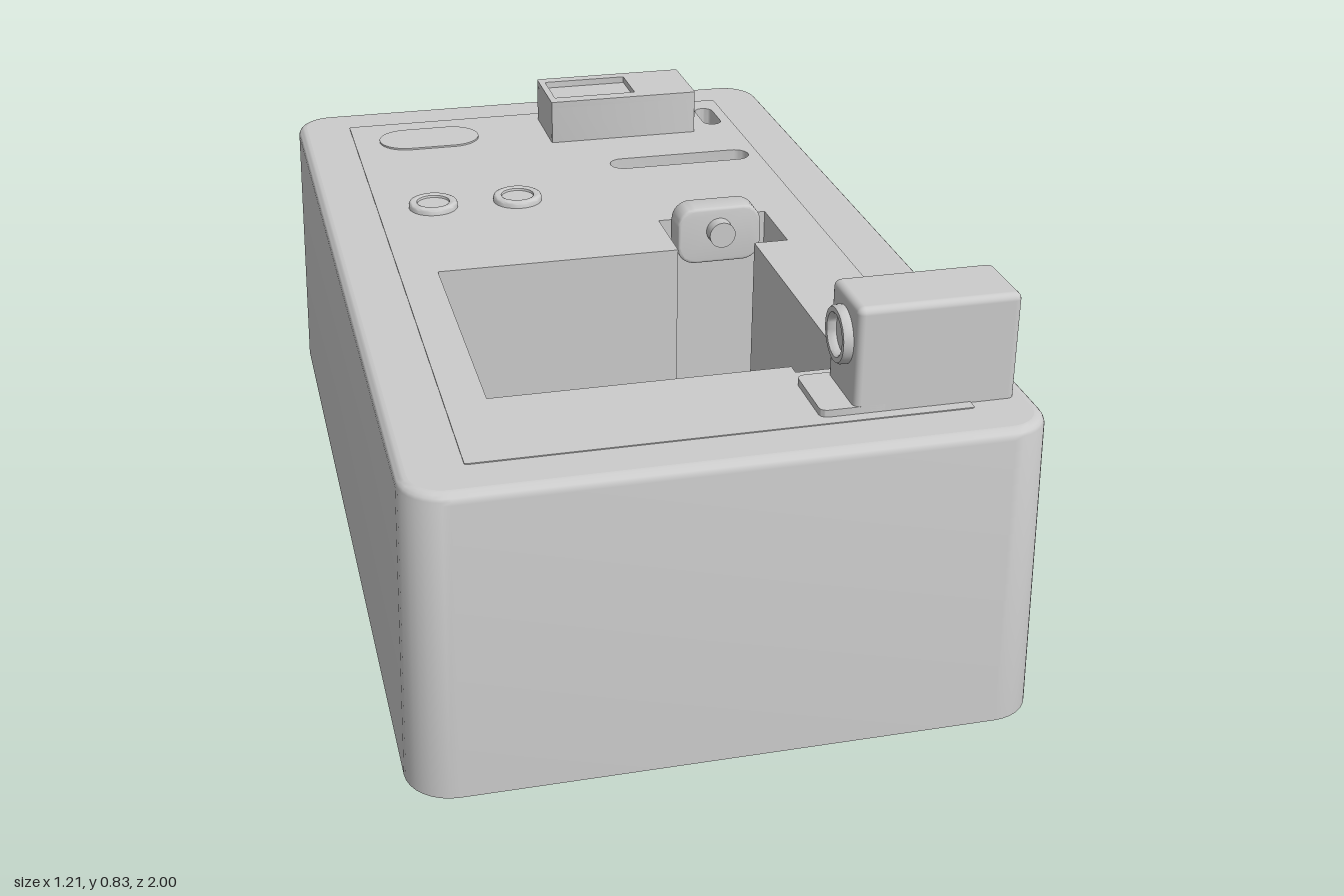
import * as THREE from 'three';
import { toCreasedNormals } from 'three/addons/utils/BufferGeometryUtils.js';
import { RoundedBoxGeometry } from 'three/addons/geometries/RoundedBoxGeometry.js';

const TOP = 0.62;        // rim height
const PANEL_TOP = 0.622; // inset panel height
const PANEL_BASE = 0.6;

// Plan outlines are Vector2(x, -z), counter-clockwise seen from above
function roundedRect(x0, x1, z0, z1, r, n = 8) {
  const pts = [];
  const corners = [[x1 - r, -z0 - r], [x0 + r, -z0 - r], [x0 + r, -z1 + r], [x1 - r, -z1 + r]];
  corners.forEach(([cx, cy], q) => {
    for (let i = 0; i <= n; i++) {
      const a = (q + i / n) * Math.PI / 2;
      pts.push(new THREE.Vector2(cx + r * Math.cos(a), cy + r * Math.sin(a)));
    }
  });
  return pts;
}

const slot = (x0, x1, z0, z1) => roundedRect(x0, x1, z0, z1, Math.min(x1 - x0, z1 - z0) * 0.498);

// Skin between stacked outlines of equal point count
function loft(rings) {
  const pos = [];
  const idx = [];
  const n = rings[0].pts.length;
  rings.forEach(({ pts, y }) => pts.forEach(p => pos.push(p.x, y, -p.y)));
  for (let i = 0; i < rings.length - 1; i++) {
    for (let j = 0; j < n; j++) {
      const k = (j + 1) % n;
      const a = i * n + j, b = i * n + k, c = b + n, d = a + n;
      idx.push(a, b, c, a, c, d);
    }
  }
  const g = new THREE.BufferGeometry();
  g.setAttribute('position', new THREE.Float32BufferAttribute(pos, 3));
  g.setIndex(idx);
  return toCreasedNormals(g, 0.7);
}

function makeShape(pts, holes = []) {
  const s = new THREE.Shape(pts);
  holes.forEach(h => s.holes.push(new THREE.Path(h)));
  return s;
}

function cap(pts, y, holes) {
  return new THREE.ShapeGeometry(makeShape(pts, holes)).rotateX(-Math.PI / 2).translate(0, y, 0);
}

function slab(pts, y0, y1, holes) {
  const g = new THREE.ExtrudeGeometry(makeShape(pts, holes), { depth: y1 - y0, bevelEnabled: false });
  return toCreasedNormals(g.rotateX(-Math.PI / 2).translate(0, y0, 0), 0.7);
}

export function createModel() {
  const model = new THREE.Group();
  const mat = new THREE.MeshStandardMaterial({ color: 0xcccccc });
  const add = (name, geometry, x = 0, y = 0, z = 0) => {
    const m = new THREE.Mesh(geometry, mat);
    m.name = name;
    m.position.set(x, y, z);
    model.add(m);
    return m;
  };
  const box = (name, x0, x1, y0, y1, z0, z1, r) => add(name,
    new RoundedBoxGeometry(x1 - x0, y1 - y0, z1 - z0, 3, r), (x0 + x1) / 2, (y0 + y1) / 2, (z0 + z1) / 2);

  // Tapered case with a softened top edge
  const outline = (hx, hz, r) => roundedRect(-hx, hx, -hz, hz, r);
  const rings = [{ pts: outline(0.605, 1, 0.09), y: 0 }];
  const bevel = 0.02;
  for (let i = 0; i <= 5; i++) {
    const a = i / 5 * Math.PI / 2;
    const inset = bevel * (1 - Math.cos(a));
    rings.push({ pts: outline(0.593 - inset, 0.99 - inset, 0.085 - inset), y: TOP - bevel + bevel * Math.sin(a) });
  }
  add('caseWalls', loft(rings));
  add('caseBottom', cap(rings[0].pts, 0).scale(1, -1, 1).rotateX(0)).geometry =
    new THREE.ShapeGeometry(makeShape(rings[0].pts)).rotateX(Math.PI / 2);

  // Rim around the inset panel
  const panel = roundedRect(-0.47, 0.47, -0.88, 0.89, 0.004, 2);
  add('caseRim', cap(rings[rings.length - 1].pts, TOP, [panel]));

  // Recesses sunk into the panel
  const well = [
    [-0.39, 0.06], [-0.39, 0.655], [0.195, 0.655], [0.195, 0.68], [0.3, 0.68],
    [0.3, 0.06], [0.375, 0.06], [0.375, -0.11], [0.13, -0.11], [0.13, 0.06],
  ].map(([x, z]) => new THREE.Vector2(x, -z));
  const recesses = [
    { name: 'mainWell', pts: well, floor: 0.08 },
    { name: 'longSlot', pts: slot(0.105, 0.445, -0.51, -0.445), floor: 0.56 },
    { name: 'shortSlot', pts: slot(0.4, 0.445, -0.82, -0.7), floor: 0.56 },
  ];
  add('topPanel', slab(panel, PANEL_BASE, PANEL_TOP, recesses.map(r => r.pts)));
  recesses.forEach(({ name, pts, floor }) => {
    const inner = [...pts].reverse();
    add(name + 'Walls', loft([{ pts: inner, y: floor }, { pts: inner, y: PANEL_BASE }]));
    add(name + 'Floor', cap(pts, floor));
  });

  // Flat oval pad
  add('ovalPad', slab(slot(-0.41, -0.167, -0.82, -0.685), 0.61, 0.626));

  // Pair of round buttons with raised rims and dished centres
  const buttonProfile = [
    [0.055, 0], [0.055, 0.021], [0.053, 0.025], [0.049, 0.027],
    [0.041, 0.027], [0.037, 0.025], [0.036, 0.02], [0, 0.02],
  ].map(([r, y]) => new THREE.Vector2(r, y));
  for (const x of [-0.345, -0.152]) {
    add('roundButton', toCreasedNormals(new THREE.LatheGeometry(buttonProfile, 32), 0.7), x, 0.61, -0.306);
  }

  // Raised housing with a shallow window
  const housing = roundedRect(0, 0.36, -0.84, -0.657, 0.004, 2);
  const windowHole = roundedRect(0.015, 0.215, -0.812, -0.69, 0.003, 2);
  add('windowHousing', slab(housing, 0.6, 0.71));
  add('windowFrame', slab(housing, 0.71, 0.725, [windowHole]));

  // Latch at the back of the well, with its pin
  box('latch', 0.157, 0.345, 0.54, 0.668, -0.107, -0.042, 0.03).geometry = latchGeometry(0.188, 0.128, 0.065);
  add('latchPin', new THREE.CylinderGeometry(0.029, 0.029, 0.05, 24).rotateX(Math.PI / 2), 0.25, 0.615, -0.037);

  // Front block with base plate and side socket
  box('frontBlock', 0.245, 0.557, 0.6, 0.83, 0.72, 0.867, 0.014);
  add('blockPlate', slab(roundedRect(0.183, 0.32, 0.72, 0.867, 0.015), 0.61, 0.636));
  const socketProfile = [
    [0.055, 0], [0.055, 0.015], [0.052, 0.02], [0.042, 0.02], [0.038, 0.016], [0.036, 0.004], [0, 0.004],
  ].map(([r, y]) => new THREE.Vector2(r, y));
  add('sideSocket', toCreasedNormals(new THREE.LatheGeometry(socketProfile, 32), 0.7).rotateZ(Math.PI / 2),
    0.247, 0.75, 0.794);

  return model;
}

// Upright plate with rounded corners and slightly softened edges
function latchGeometry(w, h, d) {
  const b = 0.006;
  const s = makeShape(roundedRect(-w / 2 + b, w / 2 - b, -h / 2 + b, h / 2 - b, 0.034));
  const g = new THREE.ExtrudeGeometry(s, { depth: d - 2 * b, bevelThickness: b, bevelSize: b, bevelSegments: 3 });
  return toCreasedNormals(g.translate(0, 0, -d / 2 + b), 0.7);
}
